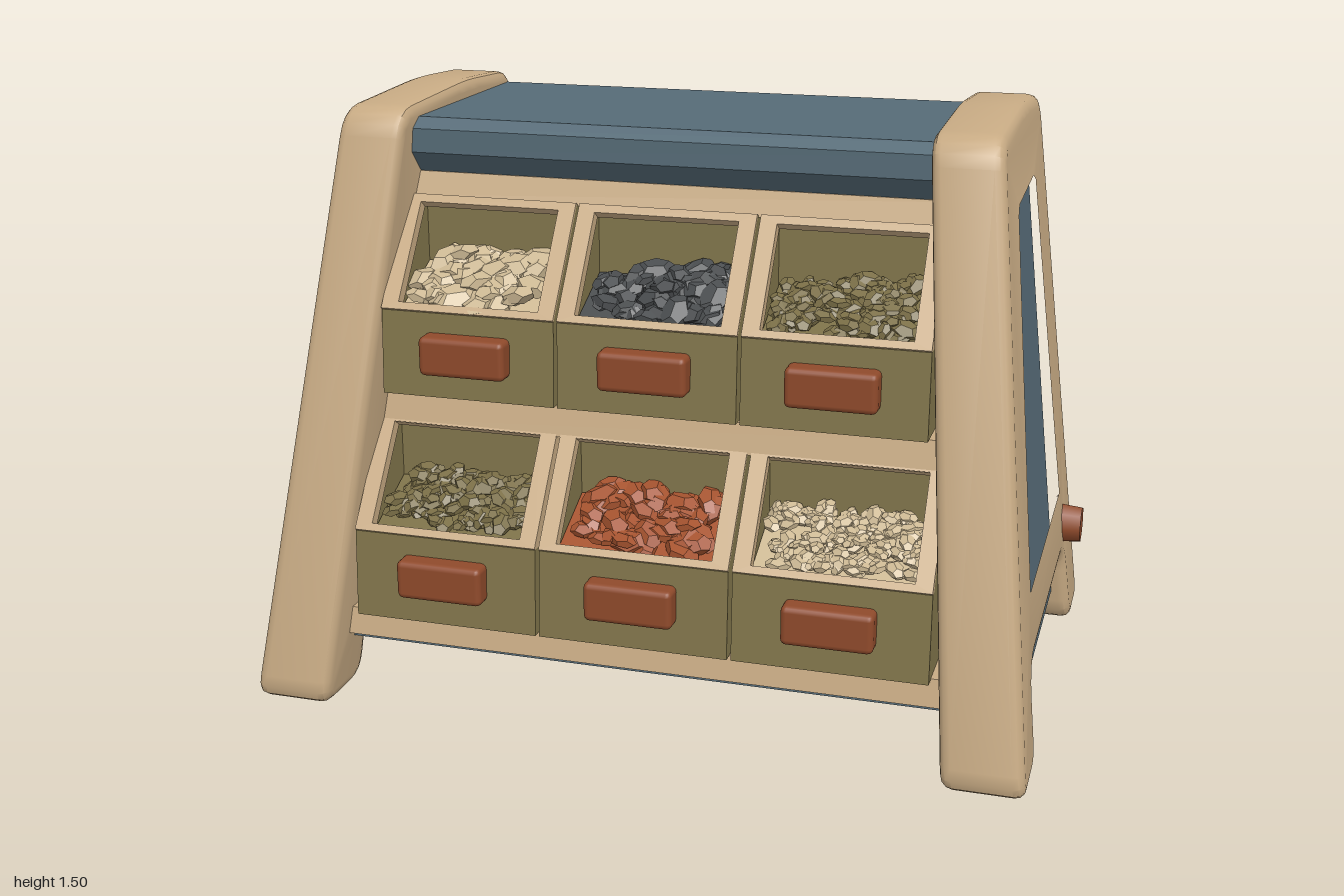
import * as THREE from 'three';
import { mergeGeometries, toCreasedNormals } from 'three/addons/utils/BufferGeometryUtils.js';
import { RoundedBoxGeometry } from 'three/addons/geometries/RoundedBoxGeometry.js';

const mat = (name, color) => Object.assign(new THREE.MeshStandardMaterial({ color }), { name });

export function createModel() {
  const wood = mat('wood', 0xc8ab84);
  const blue = mat('slate blue', 0x566b77);
  const olive = mat('olive', 0x82764c);
  const rust = mat('rust', 0x8f4a2b);
  const cream = mat('cream stone', 0xcdb994);
  const charcoal = mat('charcoal stone', 0x4a4d4f);
  const moss = mat('moss stone', 0x7b6f47);
  const terracotta = mat('terracotta stone', 0xa5532f);

  const model = new THREE.Group();
  const add = (parent, name, geometry, material, x = 0, y = 0, z = 0) => {
    const mesh = new THREE.Mesh(geometry, material);
    mesh.name = name;
    mesh.position.set(x, y, z);
    parent.add(mesh);
    return mesh;
  };

  let seed = 7;
  const rand = () => (seed = (seed * 16807) % 2147483647) / 2147483647;

  // Closed outline from [z, y] points, with corners rounded by radius r
  const outline = (pts, r, Type = THREE.Shape) => {
    const v = pts.map(([z, y]) => new THREE.Vector2(-z, y));
    const s = new Type();
    v.forEach((p, i) => {
      const toward = (q) => {
        const d = q.clone().sub(p);
        return p.clone().addScaledVector(d, Math.min(r / d.length(), 0.45));
      };
      const a = r ? toward(v[(i + v.length - 1) % v.length]) : p;
      const b = r ? toward(v[(i + 1) % v.length]) : p;
      if (i) s.lineTo(a.x, a.y);
      else s.moveTo(a.x, a.y);
      if (r) s.quadraticCurveTo(p.x, p.y, b.x, b.y);
    });
    s.closePath();
    return s;
  };

  // Side profile extruded along x and centred on x = 0
  const slab = (shape, width, bevel = 0) => {
    const g = new THREE.ExtrudeGeometry(shape, {
      depth: width - 2 * bevel, bevelEnabled: bevel > 0, bevelSize: bevel,
      bevelThickness: bevel, bevelOffset: -bevel, bevelSegments: 3, curveSegments: 4,
    });
    return g.translate(0, 0, bevel - width / 2).rotateY(Math.PI / 2);
  };

  // Moves x by a rule of (x, y) to follow the inward lean
  const lean = (g, rule) => {
    const p = g.attributes.position;
    for (let i = 0; i < p.count; i++) p.setX(i, rule(p.getX(i), p.getY(i)));
    g.computeVertexNormals();
    return g;
  };
  const centre = (y) => 0.885 - 0.1 * y;
  const span = (pts) => lean(slab(outline(pts, 0), 2), (x, y) => x * centre(y));

  // Blue housing: floor, back, roof and curled header
  add(model, 'housing', span([
    [0.48, 0.14], [0.48, 0.165], [0.27, 0.175], [0.15, 0.75], [0.13, 1.31], [0.17, 1.31],
    [0.235, 1.37], [0.235, 1.43], [0.2, 1.455], [-0.41, 1.455], [-0.445, 1.4], [-0.485, 0.3], [-0.485, 0.14],
  ]), blue);

  // Wooden boards spanning the width
  const boards = {
    topBoard: [[0.1, 1.25], [0.2, 1.25], [0.175, 1.312], [0.1, 1.312]],
    middleBoard: [[0.1, 0.69], [0.345, 0.69], [0.325, 0.765], [0.1, 0.765]],
    bottomBoard: [[0.2, 0.16], [0.51, 0.16], [0.495, 0.228], [0.2, 0.228]],
    backRail: [[-0.46, 0.15], [-0.55, 0.15], [-0.535, 0.335], [-0.46, 0.335]],
  };
  for (const [name, pts] of Object.entries(boards)) add(model, name, span(pts), wood);

  // Leaning side frames with inset panels and knobs
  const frameShape = outline([
    [0.645, 0], [0.295, 1.485], [-0.13, 1.503], [-0.44, 1.485], [-0.53, 0.8], [-0.638, 0],
    [-0.42, 0], [-0.385, 0.235], [0.385, 0.235], [0.415, 0],
  ], 0.07);
  frameShape.holes.push(outline([
    [0.36, 0.375], [0.15, 1.29], [0.11, 1.325], [-0.2, 1.34], [-0.26, 1.315], [-0.385, 0.385],
  ], 0.012, THREE.Path));
  const panelShape = outline([[0.46, 0.1], [0.22, 1.38], [-0.34, 1.38], [-0.46, 0.1]], 0);
  for (const s of [1, -1]) {
    const side = new THREE.Group();
    side.name = s > 0 ? 'leftSide' : 'rightSide';
    model.add(side);
    const frame = lean(slab(frameShape, 0.2, 0.028), (x, y) => x * (1 - 0.1 * y) + s * centre(y));
    add(side, 'frame', toCreasedNormals(frame, 0.6), wood);
    add(side, 'panel', lean(slab(panelShape, 0.1), (x, y) => x + s * (centre(y) + 0.005)), blue);
    const knob = add(side, 'knob', new THREE.CylinderGeometry(0.05, 0.057, 0.07, 8), rust, s * 0.965, 0.3, -0.422);
    knob.rotation.set(0, 0, -s * Math.PI / 2);
  }

  // Heap of flattened stones on a sloping bed, relative to the bin's front rim
  const stones = (w, r, count) => {
    const bed = new THREE.BoxGeometry(w, 0.04, 0.22).toNonIndexed();
    const list = [bed.rotateX(0.42).translate(0, 0.015, -0.125)];
    for (let i = 0; i < count; i++) {
      const t = rand();
      const size = r * (0.75 + 0.5 * rand());
      const g = new THREE.DodecahedronGeometry(1, 0);
      g.scale(size * 1.25, size * 0.5, size * 0.85);
      g.rotateY(rand() * 6.28).rotateX(0.42 + (rand() - 0.5) * 0.9).rotateZ((rand() - 0.5) * 0.7);
      g.translate((rand() - 0.5) * (w - 2 * r), 0.008 + 0.085 * t + 0.022 * rand(), -0.055 - 0.15 * t);
      list.push(g);
    }
    return mergeGeometries(list);
  };

  // Open bin with sloping rim; origin at the top of its front
  const RISE = 0.255, RUN = 0.185, DEPTH = 0.235;
  const addBin = (x, y, z, w, h, stone, r, count) => {
    const bin = new THREE.Group();
    bin.name = 'bin';
    bin.position.set(x, y, z);
    model.add(bin);
    const cheek = outline([[0.012, -h], [0, 0], [-RUN, RISE], [-DEPTH, RISE], [-DEPTH, -h]], 0);
    for (const s of [-1, 1]) add(bin, 'binSide', slab(cheek, 0.035), olive, s * (w / 2 - 0.0175));
    const front = outline([[0.014, -h], [0.002, 0], [-0.03, 0], [-0.03, -h]], 0);
    add(bin, 'binFront', slab(front, w), olive);
    add(bin, 'binBack', new THREE.BoxGeometry(w, h + RISE, 0.012), olive, 0, (RISE - h) / 2, -DEPTH + 0.006);
    add(bin, 'binFloor', new THREE.BoxGeometry(w, 0.02, DEPTH), olive, 0, 0.01 - h, -DEPTH / 2);

    // Rim lying on the slope
    const len = Math.hypot(RISE, RUN);
    const rect = (Type, a, b, c, d) => new Type([[a, b], [c, b], [c, d], [a, d]].map((p) => new THREE.Vector2(...p)));
    const rim = rect(THREE.Shape, -w / 2, 0, w / 2, len);
    rim.holes.push(rect(THREE.Path, -w / 2 + 0.043, 0.02, w / 2 - 0.043, len - 0.022));
    const rimGeo = new THREE.ExtrudeGeometry(rim, { depth: 0.03, bevelEnabled: false });
    add(bin, 'binRim', rimGeo.translate(0, 0, -0.022).rotateX(-Math.atan2(RUN, RISE)), wood);

    add(bin, 'stones', stones(w - 0.075, r, count), stone);
    add(bin, 'handle', new RoundedBoxGeometry(0.225, 0.1, 0.07, 2, 0.015), rust, 0, -0.1, 0.02);
  };

  [[cream, 0.045, 48], [charcoal, 0.038, 60], [moss, 0.026, 120]].forEach(([m, r, n], i) =>
    addBin((i - 1) * 0.464, 1.0, 0.388, 0.455, 0.215, m, r, n));
  [[moss, 0.026, 120], [terracotta, 0.038, 65], [cream, 0.022, 150]].forEach(([m, r, n], i) =>
    addBin((i - 1) * 0.493, 0.45, 0.512, 0.483, 0.225, m, r, n));

  return model;
}
